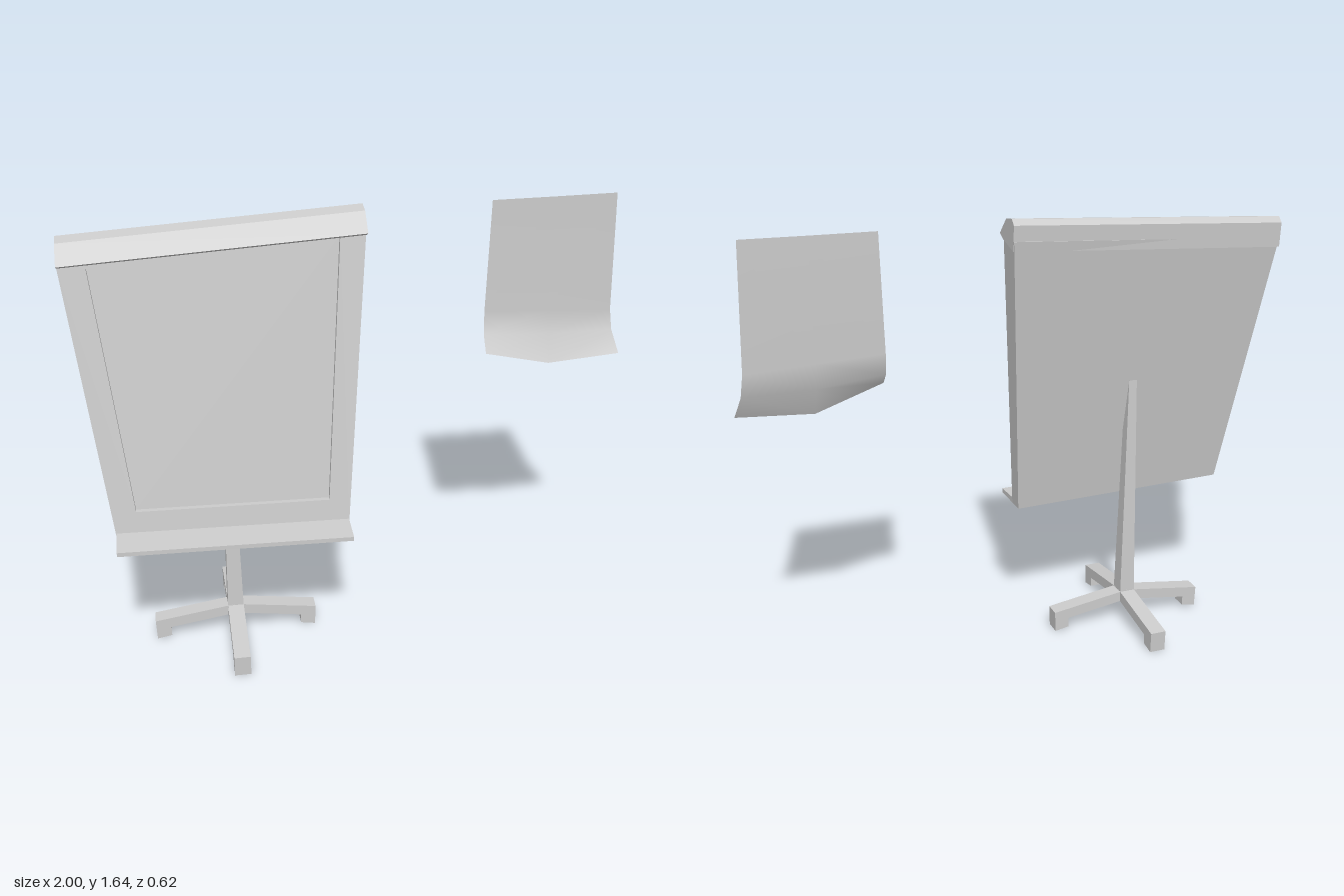
import * as THREE from 'three';

const material = new THREE.MeshStandardMaterial({ color: 0xcccccc, flatShading: true });

function addMesh(parent, name, geometry, mat = material) {
  const mesh = new THREE.Mesh(geometry, mat);
  mesh.name = name;
  parent.add(mesh);
  return mesh;
}

// Joins matching loops of [x, y, z] points; loops run counterclockwise seen from the last one.
function loft(loops, capStart = true, capEnd = true) {
  const out = [];
  const tri = (a, b, c) => out.push(...a, ...b, ...c);
  const n = loops[0].length;
  for (let k = 0; k + 1 < loops.length; k++) {
    for (let i = 0; i < n; i++) {
      const j = (i + 1) % n, a = loops[k], b = loops[k + 1];
      tri(a[i], a[j], b[j]);
      tri(a[i], b[j], b[i]);
    }
  }
  const first = loops[0], last = loops[loops.length - 1];
  for (let i = 1; i + 1 < n; i++) {
    if (capStart) tri(first[0], first[i + 1], first[i]);
    if (capEnd) tri(last[0], last[i], last[i + 1]);
  }
  const g = new THREE.BufferGeometry();
  g.setAttribute('position', new THREE.Float32BufferAttribute(out, 3));
  g.computeVertexNormals();
  return g;
}

// Sweeps a [z, y] profile from the left edge to the right edge, with its own rise at the left.
function sweep(profile, x0, x1, rise) {
  return loft([
    profile.map(([z, y]) => [x0, y + rise, z]),
    profile.map(([z, y]) => [x1, y, z]),
  ]);
}

function buildBoard() {
  const board = new THREE.Group();
  board.name = 'board';
  const frontZ = (y) => 0.13 - 0.134 * (y - 0.52);
  const backZ = (y) => 0.067 - 0.169 * (y - 0.505);
  const outer = [[-0.885, 0.522], [-0.045, 0.502], [0.04, 1.57], [-1, 1.51]];
  const inner = [[-0.81, 0.62], [-0.115, 0.605], [-0.05, 1.555], [-0.905, 1.495]];
  const lay = (pts, depth) => pts.map(([x, y]) => [x, y, depth(y)]);

  // Leaning frame with a sunken writing surface
  const sunken = lay(inner, (y) => frontZ(y) - 0.018);
  addMesh(board, 'boardFrame',
    loft([lay(outer, backZ), lay(outer, frontZ), lay(inner, frontZ), sunken], true, false));
  addMesh(board, 'writingSurface', loft([sunken], false, true));

  // Hood along the slanted top edge
  addMesh(board, 'topHood', sweep([
    [-0.11, 1.625], [-0.09, 1.645], [-0.035, 1.636], [0.028, 1.575], [-0.004, 1.56], [-0.105, 1.535],
  ], -1, 0.04, -0.06));

  // Tray along the bottom edge
  addMesh(board, 'tray', sweep([
    [0.1, 0.502], [0.1, 0.526], [0.245, 0.516], [0.245, 0.5],
  ], -0.885, -0.045, 0.02));
  return board;
}

function buildStand() {
  const stand = new THREE.Group();
  stand.name = 'stand';
  stand.position.x = -0.47;

  // Tapered square pole
  const pole = new THREE.CylinderGeometry(0.014 * Math.SQRT2, 0.03 * Math.SQRT2, 1.0, 4);
  pole.rotateY(Math.PI / 4).translate(0, 0.6, 0);
  addMesh(stand, 'pole', pole);

  // Four arms with downturned feet
  const arm = new THREE.Shape([
    [0, 0.125], [0, 0.085], [0.25, 0.047], [0.25, 0.01], [0.305, 0], [0.308, 0.08],
  ].map(([x, y]) => new THREE.Vector2(x, y)));
  const armGeometry = new THREE.ExtrudeGeometry(arm, { depth: 0.06, bevelEnabled: false });
  armGeometry.translate(0, 0, -0.03);
  for (let i = 0; i < 4; i++) {
    addMesh(stand, 'footArm', armGeometry).rotation.y = i * Math.PI / 2;
  }
  return stand;
}

// Loose sheet whose lower edge curls forward
function buildSheet() {
  const rows = [
    [[0.5, 1.635, -0.085], [0.73, 1.637, -0.085], [0.955, 1.64, -0.085]],
    [[0.49, 1.22, -0.085], [0.73, 1.21, -0.086], [0.97, 1.2, -0.086]],
    [[0.485, 1.14, -0.06], [0.73, 1.12, -0.077], [0.98, 1.12, -0.08]],
    [[0.48, 1.09, 0], [0.73, 1.02, -0.036], [1, 1.04, -0.037]],
  ];
  const g = new THREE.PlaneGeometry(1, 1, 2, 3);
  rows.flat().forEach((p, i) => g.attributes.position.setXYZ(i, ...p));
  g.computeVertexNormals();
  return g;
}

export function createModel() {
  const model = new THREE.Group();
  model.name = 'boardOnStand';
  model.add(buildBoard(), buildStand());
  addMesh(model, 'paperSheet', buildSheet(),
    new THREE.MeshStandardMaterial({ color: 0xcccccc, side: THREE.DoubleSide }));
  return model;
}
